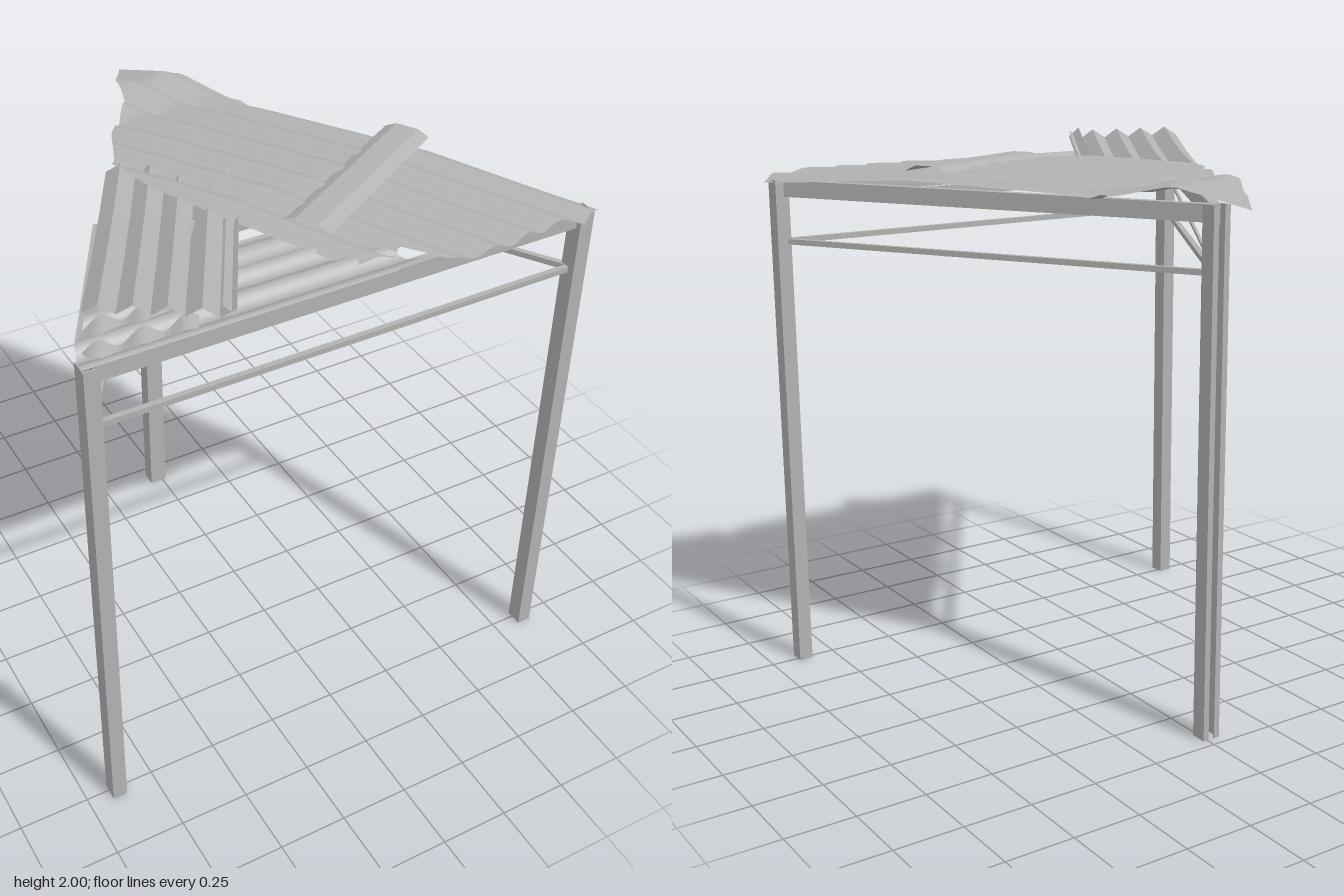
import * as THREE from 'three';

const steel = new THREE.MeshStandardMaterial({ color: 0xb2b2b2, side: THREE.DoubleSide });
steel.name = 'galvanised grey';

// Piecewise linear lookup through [position, value] pairs
function lerpTable(table, t) {
  if (t <= table[0][0]) return table[0][1];
  for (let i = 1; i < table.length; i++) {
    const [a, p] = table[i - 1], [b, q] = table[i];
    if (t <= b) return p + (q - p) * (t - a) / (b - a);
  }
  return table[table.length - 1][1];
}

export function createModel() {
  const model = new THREE.Group();
  model.name = 'shelter';

  function add(name, geometry, parent = model) {
    const mesh = new THREE.Mesh(geometry, steel);
    mesh.name = name;
    parent.add(mesh);
    return mesh;
  }

  // Straight bar between two points
  function bar(name, a, b, w, h) {
    const from = new THREE.Vector3(...a), to = new THREE.Vector3(...b);
    const mesh = add(name, new THREE.BoxGeometry(w, h, from.distanceTo(to)));
    mesh.position.copy(from).add(to).multiplyScalar(0.5);
    mesh.lookAt(to);
    return mesh;
  }

  // Upright extrusion of a plan shape
  function upright(name, shape, x, z, height) {
    const geometry = new THREE.ExtrudeGeometry(shape, { depth: height, bevelEnabled: false });
    geometry.rotateX(-Math.PI / 2);
    add(name, geometry).position.set(x, 0, z);
  }

  function rectangle(w, d, PathType = THREE.Shape) {
    const path = new PathType();
    path.moveTo(-w / 2, -d / 2);
    path.lineTo(w / 2, -d / 2);
    path.lineTo(w / 2, d / 2);
    path.lineTo(-w / 2, d / 2);
    path.closePath();
    return path;
  }

  // Sheet running along dir from origin; start and end depend on the distance v across it
  function sheet(name, { origin, dir, across, from, to, start, end, height, cols = 60, rows = 30, faceted = false }) {
    const pos = [], index = [];
    for (let i = 0; i <= cols; i++) {
      const v = from + (to - from) * i / cols;
      const u0 = start(v), u1 = end(v);
      for (let j = 0; j <= rows; j++) {
        const u = u0 + (u1 - u0) * j / rows;
        const x = origin[0] + dir[0] * u + across[0] * v;
        const z = origin[1] + dir[1] * u + across[1] * v;
        pos.push(x, height(u, v, x, z), z);
        if (i < cols && j < rows) {
          const a = i * (rows + 1) + j, b = a + rows + 1;
          index.push(a, a + 1, b, b, a + 1, b + 1);
        }
      }
    }
    let geometry = new THREE.BufferGeometry();
    geometry.setAttribute('position', new THREE.Float32BufferAttribute(pos, 3));
    geometry.setIndex(index);
    if (faceted) geometry = geometry.toNonIndexed();
    geometry.computeVertexNormals();
    add(name, geometry);
  }

  // Hollow front posts
  for (const [side, x] of [['left', 0.87], ['right', -0.89]]) {
    const tube = rectangle(0.052, 0.062);
    tube.holes.push(rectangle(0.042, 0.052, THREE.Path));
    upright(side + 'FrontPost', tube, x, 0.76, 1.875);
  }

  // Back post: channel with its slot to the rear
  const channel = new THREE.Shape([
    [-0.034, -0.03], [0.034, -0.03], [0.034, 0.03], [0.012, 0.03], [0.012, 0.025], [0.028, 0.025],
    [0.028, -0.024], [-0.028, -0.024], [-0.028, 0.025], [-0.012, 0.025], [-0.012, 0.03], [-0.034, 0.03],
  ].map(p => new THREE.Vector2(...p)));
  upright('backPost', channel, -0.018, -0.682, 1.875);

  // Top beams and lower rails around the triangle
  const corners = { right: [-0.88, 0.755], left: [0.86, 0.755], back: [-0.018, -0.675] };
  const at = (corner, y) => [corners[corner][0], y, corners[corner][1]];
  for (const [side, a, b] of [['front', 'right', 'left'], ['left', 'left', 'back'], ['right', 'back', 'right']]) {
    bar(side + 'TopBeam', at(a, 1.845), at(b, 1.845), 0.035, 0.06);
    bar(side + 'LowerRail', at(a, 1.65), at(b, 1.65), 0.02, 0.02);
  }

  // Crossed braces on one side and a purlin under the roof
  bar('crossBraceA', at('right', 1.815), at('back', 1.665), 0.01, 0.012);
  bar('crossBraceB', at('right', 1.665), at('back', 1.815), 0.01, 0.012);
  bar('roofPurlin', [-0.59, 1.855, 0.28], [0.56, 1.855, 0.28], 0.03, 0.035);

  // Large torn roof sheet
  const tornBack = [[0, 0], [0.08, 0.058], [0.12, 0.07], [0.2, 0.127], [0.235, 0.18], [0.27, 0.215],
    [0.35, 0.249], [0.41, 0.28], [0.47, 0.296], [0.53, 0.341], [0.615, 0.408], [0.67, 0.436], [0.72, 0.6], [0.75, 0.9]];
  const tornFront = [[0, 1.89], [0.13, 1.89], [0.186, 1.83], [0.304, 1.774], [0.36, 1.755], [0.468, 1.697],
    [0.57, 1.63], [0.59, 1.46], [0.63, 1.47], [0.7, 1.43], [0.75, 1.38]];
  const sag = [[-0.86, 1.888], [-0.62, 1.95], [-0.44, 1.905], [-0.3, 1.918], [0, 1.928], [0.25, 1.935],
    [0.6, 1.908], [0.85, 1.893]];
  sheet('largeRoofSheet', {
    origin: [-0.02, -0.86], dir: [0.498, 0.867], across: [-0.867, 0.498], from: 0, to: 0.75,
    start: v => lerpTable(tornBack, v), end: v => lerpTable(tornFront, v),
    height: (u, v, x, z) => lerpTable(sag, z) - 0.011 * Math.cos(v * 2 * Math.PI / 0.125)
      - 0.02 * Math.max(0, 1 - v / 0.15) * (z > -0.4 ? 1 : 0.2),
    cols: 84, rows: 50,
  });

  // Sheet along the braced side
  sheet('sideRoofSheet', {
    origin: [-0.37, -0.18], dir: [-0.49, 0.87], across: [0.87, 0.49], from: -0.035, to: 0.32,
    start: v => 0.36 + 0.02 * Math.sin(v * 60), end: v => (v < 0.02 ? 1.0 + (v + 0.035) * 1.6 : 1.1 - 0.56 * v),
    height: (u, v) => 1.894 + 0.009 * Math.sin(v * 50),
  });

  // Two overlapping sheets along the front
  sheet('frontRoofSheet', {
    origin: [0, 0], dir: [1, 0], across: [0, 1], from: 0.56, to: 0.81,
    start: v => lerpTable([[0.56, -0.8], [0.7, -0.9], [0.8, -0.93], [0.81, -0.92]], v),
    end: v => lerpTable([[0.56, 0.05], [0.78, 0.23], [0.8, 0.14], [0.81, 0.12]], v),
    height: (u, v) => 1.893 + 0.012 * Math.sin(v * 2 * Math.PI / 0.11),
  });
  sheet('innerRoofSheet', {
    origin: [0, 0], dir: [1, 0], across: [0, 1], from: 0.4, to: 0.58,
    start: () => -0.5, end: () => 0.05,
    height: (u, v) => 1.885 + 0.01 * Math.sin(v * 2 * Math.PI / 0.11),
  });

  // Loose corrugated sheet, curling up towards the front
  const curl = [[0, 1.915], [0.3, 1.922], [0.55, 1.94], [0.92, 1.982]];
  sheet('looseCorrugatedSheet', {
    origin: [-0.4, -0.16], dir: [-0.49, 0.872], across: [0.872, 0.49], from: 0, to: 0.445,
    start: () => 0, end: () => 0.915,
    height: (u, v) => {
      const phase = (v / 0.445 * 4.5) % 1;
      return lerpTable(curl, u) - 0.015 * v / 0.445 + 0.017 * (1 - 4 * Math.abs(phase - 0.5));
    },
    cols: 18, rows: 6, faceted: true,
  });
  // Turned-down lip of the loose sheet
  sheet('looseSheetLip', {
    origin: [-0.012, 0.058], dir: [-0.49, 0.872], across: [-0.872, -0.49], from: 0, to: 0.04,
    start: () => 0, end: () => 0.915,
    height: (u, v) => lerpTable(curl, u) - 0.022 + v * 0.9,
    cols: 1, rows: 6, faceted: true,
  });

  // Narrow folded strip lying across the roof
  sheet('roofStrip', {
    origin: [0.55, 0.08], dir: [-0.867, 0.498], across: [0.49, 0.87], from: 0, to: 0.165,
    start: () => 0, end: () => 0.7,
    height: (u, v) => 1.96 - 0.016 * u + lerpTable([[0, -0.02], [0.04, 0], [0.125, 0], [0.165, -0.02]], v),
    cols: 8, rows: 4, faceted: true,
  });

  return model;
}
